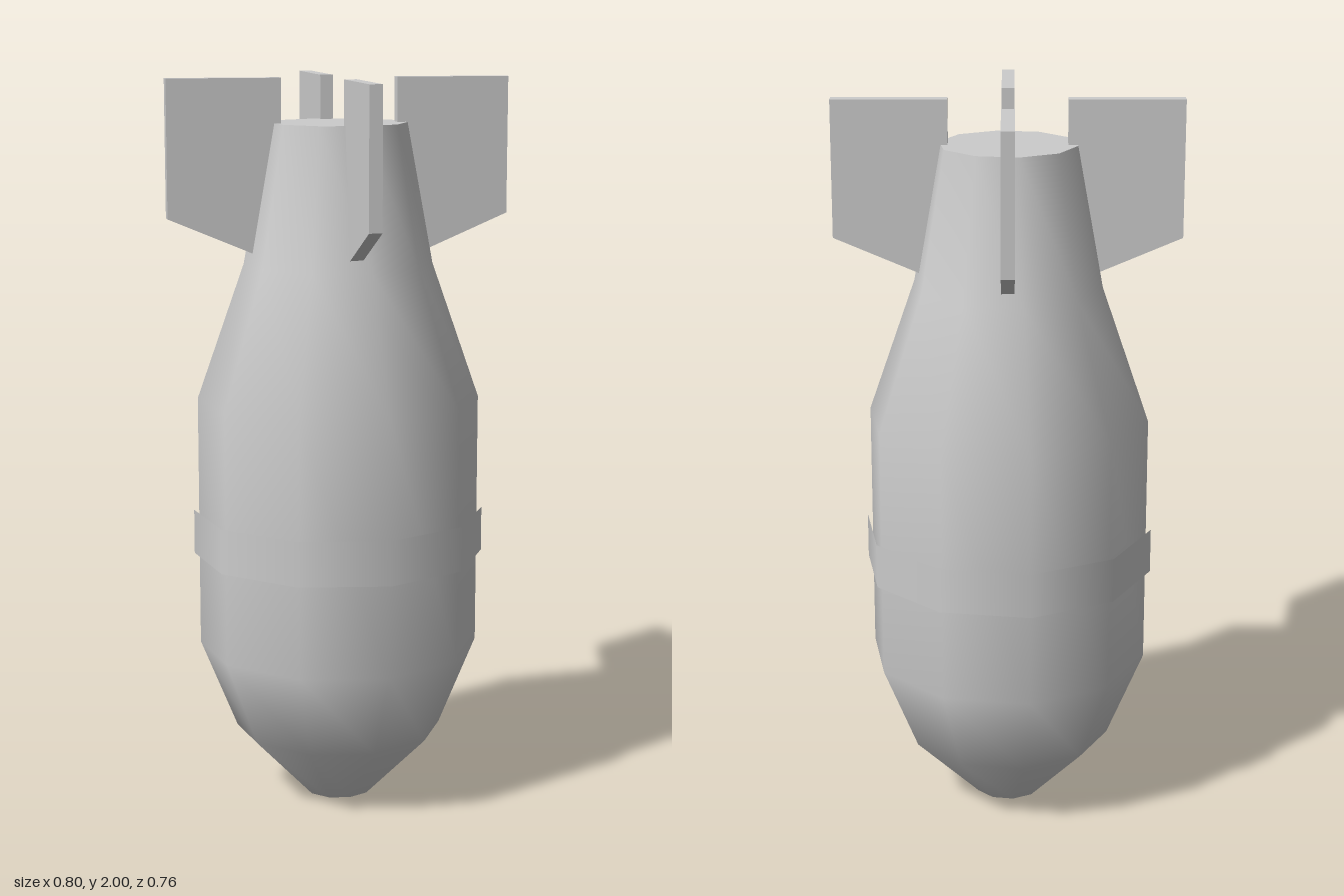
import * as THREE from 'three';

const SIDES = 10;

export function createModel() {
  const group = new THREE.Group();
  const grey = new THREE.MeshStandardMaterial({ color: 0xcccccc });
  grey.name = 'plain grey';

  const add = (geometry, name, parent = group) => {
    const mesh = new THREE.Mesh(geometry, grey);
    mesh.name = name;
    parent.add(mesh);
    return mesh;
  };

  // Ten-sided casing, smooth around, turned from nose to tail
  const profile = [
    [0.095, 0], [0.285, 0.19], [0.386, 0.435], [0.386, 1.13], [0.257, 1.5], [0.187, 1.88],
  ].map(([r, y]) => new THREE.Vector2(r, y));
  add(new THREE.LatheGeometry(profile, SIDES, Math.PI / 2), 'casing');

  // Flat ends
  const tail = add(new THREE.CircleGeometry(0.187, SIDES), 'tailCap');
  tail.rotation.x = -Math.PI / 2;
  tail.position.y = 1.88;
  const nose = add(new THREE.CircleGeometry(0.095, SIDES), 'noseCap');
  nose.rotation.x = Math.PI / 2;

  // Open band around the middle
  const band = [new THREE.Vector2(0.4, 0.692), new THREE.Vector2(0.4, 0.815)];
  add(new THREE.LatheGeometry(band, SIDES, Math.PI / 2), 'band');

  // Four diagonal fins with a sloping lower edge
  const thickness = 0.035;
  const outline = new THREE.Shape([
    [0.159, 1.5], [0.467, 1.63], [0.467, 2], [0.159, 2],
  ].map(([r, y]) => new THREE.Vector2(r, y)));
  const finGeometry = new THREE.ExtrudeGeometry(outline, { depth: thickness, bevelEnabled: false });
  finGeometry.translate(0, 0, -thickness / 2);
  const fins = new THREE.Group();
  fins.name = 'fins';
  group.add(fins);
  for (let i = 0; i < 4; i++) {
    add(finGeometry, 'fin', fins).rotation.y = Math.PI / 4 + i * Math.PI / 2;
  }

  return group;
}
